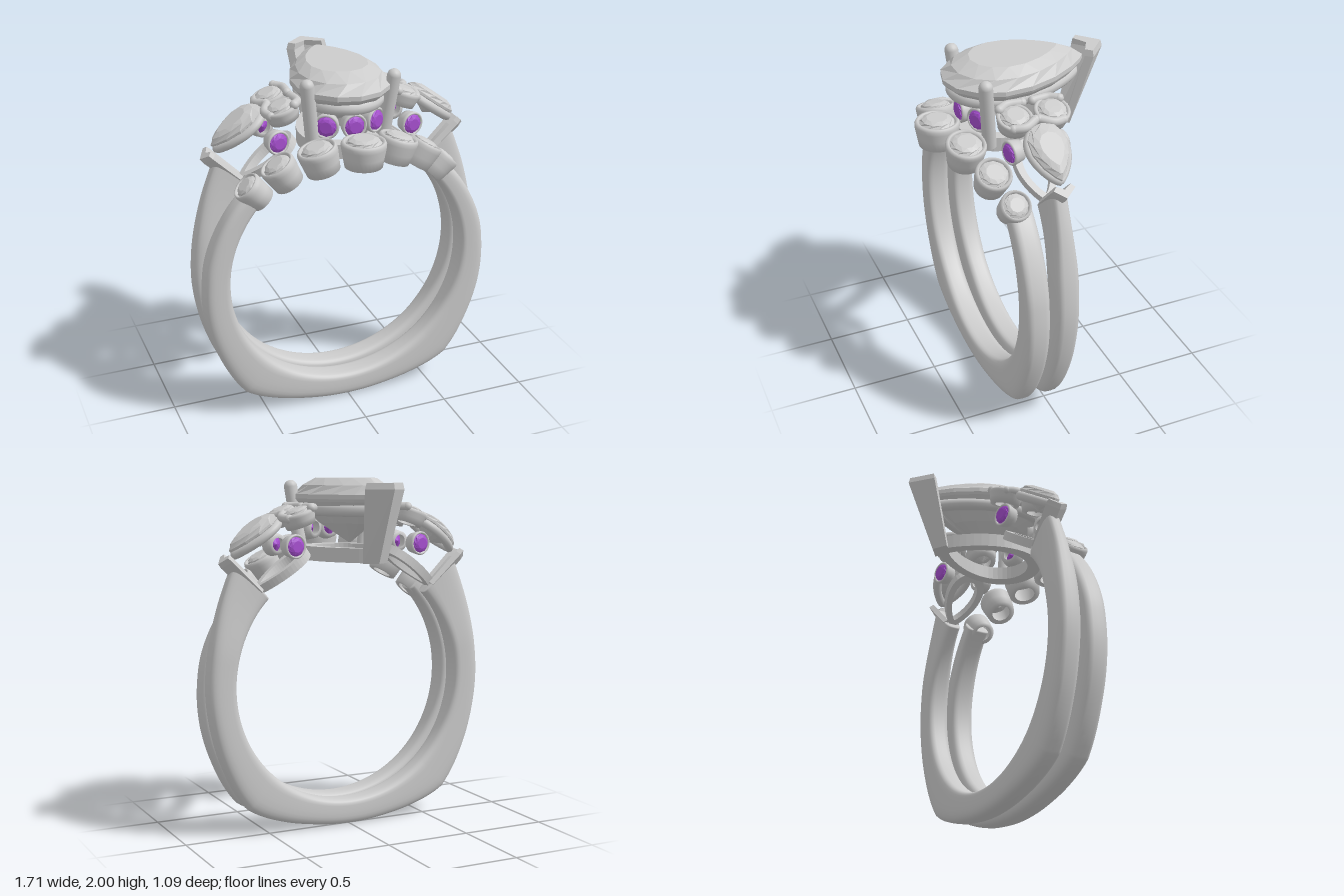
import * as THREE from 'three';

const smooth = new THREE.MeshStandardMaterial({ color: 0xcccccc, side: THREE.DoubleSide });
const faceted = new THREE.MeshStandardMaterial({ color: 0xcccccc, flatShading: true });
const violet = new THREE.MeshStandardMaterial({ color: 0xa64fcf, flatShading: true });
const V3 = (x, y, z) => new THREE.Vector3(x, y, z);
const rad = THREE.MathUtils.degToRad;
const CY = 0.845, RI = 0.695; // finger hole centre height and radius

function add(parent, name, geo, mat = smooth, pos = [0, 0, 0]) {
  const m = new THREE.Mesh(geo, mat);
  m.name = name;
  m.position.set(...pos);
  parent.add(m);
  return m;
}

function group(parent, name, pos = [0, 0, 0]) {
  const g = new THREE.Group();
  g.name = name;
  g.position.set(...pos);
  parent.add(g);
  return g;
}

// Skin a list of closed rings and cap both ends
function loft(rings) {
  const n = rings[0].length, pts = rings.flat(), idx = [];
  for (let i = 0; i < rings.length - 1; i++)
    for (let j = 0; j < n; j++) {
      const a = i * n + j, b = i * n + (j + 1) % n;
      idx.push(a, b, b + n, a, b + n, a + n);
    }
  [0, rings.length - 1].forEach((r, end) => {
    const c = pts.length;
    pts.push(rings[r].reduce((s, p) => s.add(p), V3(0, 0, 0)).divideScalar(n));
    for (let j = 0; j < n; j++) {
      const a = r * n + j, b = r * n + (j + 1) % n;
      idx.push(...(end ? [c, a, b] : [c, b, a]));
    }
  });
  const g = new THREE.BufferGeometry().setFromPoints(pts);
  g.setIndex(idx);
  g.computeVertexNormals();
  return g;
}

// Outlines in the x/z plane; the pear points to -z
const round = r => t => [Math.sin(t) * r, Math.cos(t) * r];
const pear = (w, l) => t =>
  [-Math.sin(t) * Math.pow(Math.abs(Math.sin(t / 2)), 0.7) * w / 0.82, -Math.cos(t) * l];

// Cut stone: levels are [outline scale, height, twist in steps]
function gem(outline, n, levels) {
  return loft(levels.map(([s, y, k]) => Array.from({ length: n }, (_, j) => {
    const [x, z] = outline((j + k) / n * Math.PI * 2);
    return V3(x * s, y, z * s);
  })));
}
const cut = h => [[0.02, -h, 0], [0.6, -h * 0.45, 0.5], [1, -h * 0.08, 0], [1, h * 0.06, 0], [0.85, h * 0.3, 0.5], [0.58, h * 0.45, 0]];

function pearTube(w, l, r) {
  const f = pear(w, l);
  const pts = Array.from({ length: 40 }, (_, i) => { const [x, z] = f(i / 40 * Math.PI * 2); return V3(x, 0, z); });
  return new THREE.TubeGeometry(new THREE.CatmullRomCurve3(pts, true), 96, r, 10, true);
}

// Flat pear-shaped rail, top at y = 0
function pearRail(w, l, t, h) {
  const line = f => Array.from({ length: 48 }, (_, i) => new THREE.Vector2(...f(i / 48 * Math.PI * 2)));
  const s = new THREE.Shape(line(pear(w, l)));
  s.holes.push(new THREE.Path(line(pear(w - t, l - t * 1.3))));
  return new THREE.ExtrudeGeometry(s, { depth: h, bevelEnabled: false }).rotateX(Math.PI / 2);
}

// Open cup holding a round stone, rim at +h/2
function bezel(r, h) {
  const p = [[0.55, -0.5], [0.84, -0.5], [0.92, -0.1], [0.99, 0.25], [1, 0.4], [0.94, 0.5], [0.84, 0.5], [0.78, 0.4], [0.76, 0.1], [0.55, -0.5]];
  return new THREE.LatheGeometry(p.map(([a, b]) => new THREE.Vector2(a * r, b * h)), 32);
}

function setStone(parent, name, r, h, mat, pos) {
  const g = group(parent, name, pos);
  add(g, 'bezel', bezel(r, h));
  add(g, 'stone', gem(round(r * 0.8), 10, cut(r * 0.65)), mat, [0, h * 0.38, 0]);
  return g;
}

// Chevron prong, its corner toward -z; sections are [y, z of corner, half width, arm depth, thickness]
function chevron(sections) {
  return loft(sections.map(([y, z, w, d, t]) => [
    V3(0, y, z), V3(-w, y, z + d), V3(-w + t * 0.7, y, z + d + t * 0.7),
    V3(0, y, z + t * 1.4), V3(w - t * 0.7, y, z + d + t * 0.7), V3(w, y, z + d)]));
}

// Band swept round the finger hole; profile is [angle, outer radius] for one half
function band(profile, halfWidth, endWidth) {
  const half = profile.map(([a, r]) => new THREE.Vector2(a, r));
  const left = half.slice(1).reverse().map(p => new THREE.Vector2(-180 - p.x, p.y));
  const curve = new THREE.SplineCurve([...left, ...half]);
  const rings = curve.getPoints(160).map(({ x: deg, y: ro }) => {
    const a = rad(deg), up = THREE.MathUtils.smoothstep(Math.sin(a), 0.2, 0.72);
    const hw = THREE.MathUtils.lerp(halfWidth, endWidth, up);
    return Array.from({ length: 28 }, (_, j) => {
      const u = j / 28 * Math.PI * 2, c = Math.cos(u), s = Math.sin(u);
      const pw = (v, e) => Math.sign(v) * Math.pow(Math.abs(v), e);
      const r = (ro + RI) / 2 + (ro - RI) / 2 * pw(c, c > 0 ? 0.75 : 0.45);
      return V3(Math.cos(a) * r, CY + Math.sin(a) * r, -hw * pw(s, 0.55));
    });
  });
  return loft(rings);
}

export function createModel() {
  const model = new THREE.Group();
  model.name = 'ringSet';

  // Two bands with a squared base
  const base = [[-90, 0.845], [-75, 0.857], [-63, 0.888], [-50, 0.932], [-45, 0.929], [-30, 0.888], [-15, 0.862]];
  add(model, 'backBand', band([...base, [0, 0.856], [12, 0.862], [24, 0.885], [36, 0.93], [45, 0.98]], 0.07, 0.05), smooth, [0, 0, 0.02]);
  add(model, 'frontBand', band([...base, [0, 0.842], [10, 0.835], [24, 0.82], [36, 0.81], [46, 0.8]], 0.073, 0.07), smooth, [0, 0, 0.187]);

  // Curved row of bezels on the front band
  const row = group(model, 'bezelRow');
  for (const [deg, z, r] of [[0, 0.425, 0.122], [16.5, 0.35, 0.11], [31.5, 0.275, 0.1], [45, 0.215, 0.085]])
    for (const s of deg ? [1, -1] : [1]) {
      const a = rad(deg) * s;
      const b = setStone(row, 'bandStone', r, 0.14, faceted, [Math.sin(a) * 0.765, CY + Math.cos(a) * 0.765, z]);
      b.rotation.z = -a;
    }

  // Central pear stone and its basket
  const centre = group(model, 'centreSetting', [0, 0, -0.02]);
  add(centre, 'centreStone', gem(pear(0.262, 0.405), 16, [
    [0.02, 1.64, 0], [0.55, 1.75, 0.5], [0.97, 1.87, 0], [1, 1.885, 0], [1, 1.91, 0], [0.85, 1.96, 0.5], [0.62, 2, 0]]), faceted);
  add(centre, 'upperRail', pearTube(0.2, 0.345, 0.035), smooth, [0, 1.825, 0]);
  add(centre, 'lowerRail', pearRail(0.225, 0.33, 0.06, 0.08), smooth, [0, 1.62, 0]);
  add(centre, 'pointProng', chevron([[1.54, -0.355, 0.075, 0.05, 0.035], [1.94, -0.525, 0.12, 0.11, 0.05], [1.975, -0.515, 0.11, 0.1, 0.045]]), faceted);
  for (const s of [1, -1]) {
    const path = new THREE.LineCurve3(V3(0.2 * s, 1.58, 0.225), V3(0.247 * s, 1.95, 0.262));
    add(centre, 'roundProng', new THREE.TubeGeometry(path, 1, 0.038, 16));
    add(centre, 'prongTip', new THREE.SphereGeometry(0.038, 16, 10), smooth, [0.247 * s, 1.95, 0.262]);
  }
  for (const s of [-1, 0, 1]) {
    const g = setStone(centre, 'frontAccent', 0.07, 0.07, violet, [0.13 * s, 1.715, 0.29 - 0.045 * s * s]);
    g.rotation.set(Math.PI / 2, 0, -s * 0.5);
  }

  // Side clusters, the right one turned half way round
  for (const s of [1, -1]) {
    const side = group(model, s > 0 ? 'leftCluster' : 'rightCluster', [0, 0, 0.02]);
    side.rotation.y = s > 0 ? 0 : Math.PI;

    const tilt = (name, x, y) => {
      const g = group(side, name, [x, y, 0]);
      g.rotation.set(0, -Math.PI / 2, -rad(36), 'ZYX');
      return g;
    };
    const setting = tilt('sidePear', 0.57, 1.69);
    add(setting, 'pearStone', gem(pear(0.108, 0.165), 12, cut(0.09)), faceted, [0, 0.015, 0]);
    add(setting, 'pearBezel', pearTube(0.098, 0.15, 0.026), smooth, [0, -0.02, 0]);
    add(tilt('sideGallery', 0.42, 1.51), 'galleryRail', pearRail(0.11, 0.19, 0.04, 0.05));

    // Corner prong at the pear tip, set radially
    const prong = add(side, 'sidePointProng', chevron([[0, -0.045, 0.055, 0.05, 0.03], [0.25, -0.055, 0.065, 0.055, 0.035], [0.28, -0.05, 0.06, 0.05, 0.03]]), faceted, [0.545, 1.375, 0]);
    prong.rotation.set(0, -Math.PI / 2, -rad(45), 'ZYX');

    for (const k of [1, -1]) {
      const top = setStone(side, 'shoulderStone', 0.098, 0.08, faceted, [0.345, 1.78, 0.105 * k]);
      top.rotation.z = -rad(20);
      const acc = setStone(side, 'sideAccent', 0.068, 0.07, violet, [0.39, 1.63, 0.125 * k]);
      acc.rotation.set(k * Math.PI / 2, 0, -k * 0.2);
      // Small curved prongs hugging the shoulder stones
      const claws = [
        [V3(0.3, 1.84, 0.17 * k), V3(0.265, 1.84, 0.12 * k), V3(0.27, 1.84, 0.03 * k)],
        [V3(0.42, 1.78, 0.14 * k), V3(0.435, 1.785, 0.08 * k), V3(0.4, 1.8, 0.01 * k)]];
      for (const c of claws) {
        add(side, 'claw', new THREE.TubeGeometry(new THREE.CatmullRomCurve3(c), 12, 0.024, 10));
        for (const e of [c[0], c[2]]) add(side, 'clawEnd', new THREE.SphereGeometry(0.025, 12, 8), smooth, e.toArray());
      }
    }
  }
  return model;
}
